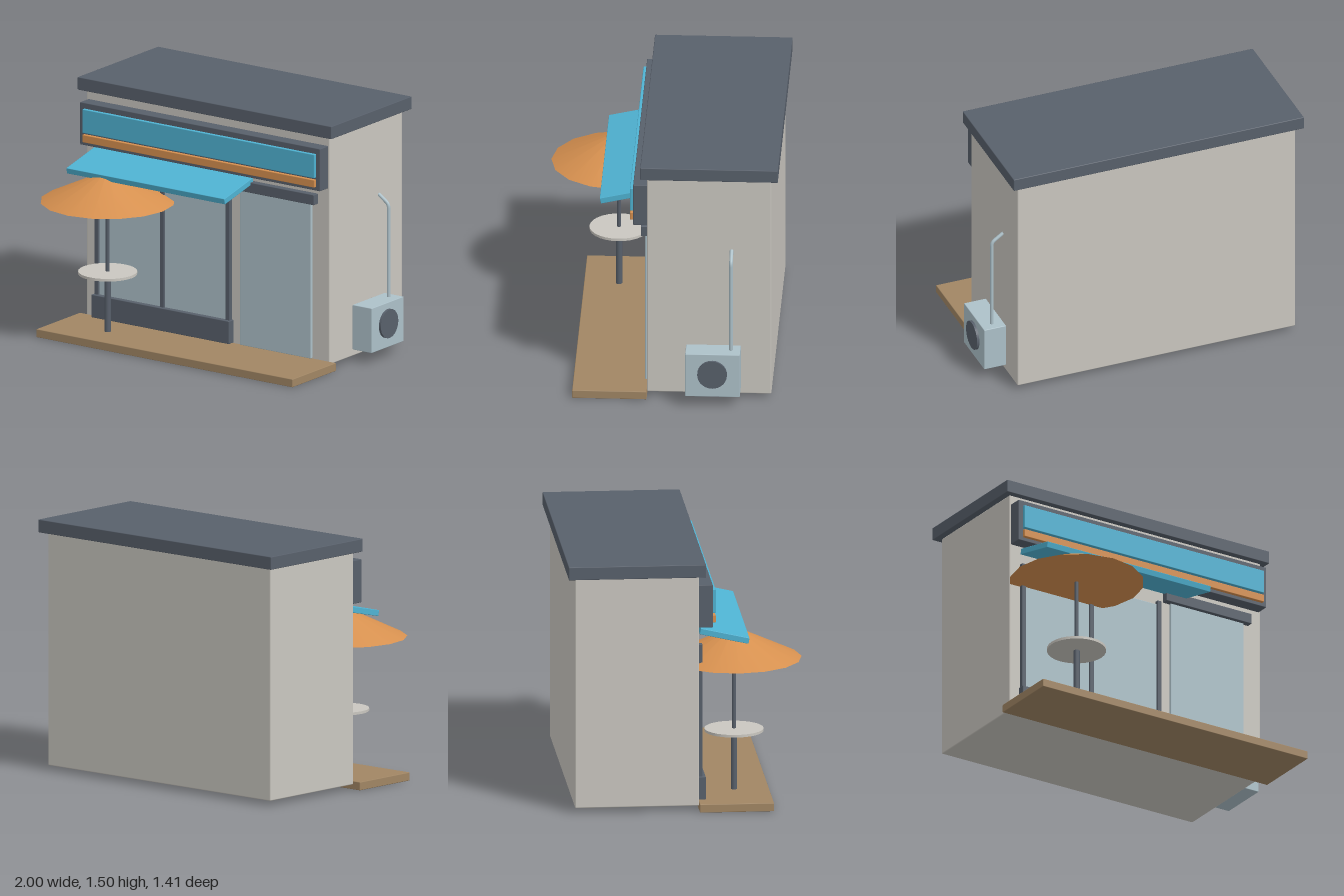
import * as THREE from 'three';
import { RoundedBoxGeometry } from 'three/addons/geometries/RoundedBoxGeometry.js';

function material(name, color) {
  const m = new THREE.MeshStandardMaterial({ color });
  m.name = name;
  return m;
}

export function createModel() {
  const group = new THREE.Group();
  const wall = material('warm grey plaster', 0xcac7c0);
  const dark = material('slate', 0x58606b);
  const blue = material('awning blue', 0x4fb3d3);
  const orange = material('orange', 0xd6904f);
  const wood = material('deck wood', 0xa18664);
  const glass = material('pale blue grey', 0xadc1c9);

  const add = (name, geometry, mat, x = 0, y = 0, z = 0, parent = group) => {
    const mesh = new THREE.Mesh(geometry, mat);
    mesh.name = name;
    mesh.position.set(x, y, z);
    parent.add(mesh);
    return mesh;
  };
  // Softly bevelled box given by its extents
  const box = (name, mat, [x0, x1], [y0, y1], [z0, z1], bevel = 0.004) =>
    add(name, new RoundedBoxGeometry(x1 - x0, y1 - y0, z1 - z0, 1, bevel), mat,
      (x0 + x1) / 2, (y0 + y1) / 2, (z0 + z1) / 2);

  // Building shell, roof and deck
  box('building', wall, [-0.92, 0.845], [0.03, 1.43], [-0.665, 0.07], 0.007);
  box('roof', dark, [-0.96, 0.885], [1.427, 1.505], [-0.705, 0.108]);
  box('deck', wood, [-0.97, 0.893], [0, 0.05], [0.07, 0.51]);

  // Fascia sign with two coloured bands
  box('signBoard', dark, [-0.91, 0.835], [1.11, 1.37], [0.06, 0.152]);
  box('signPanel', blue, [-0.88, 0.807], [1.19, 1.335], [0.145, 0.172]);
  box('signStripe', orange, [-0.88, 0.807], [1.132, 1.179], [0.145, 0.172]);

  // Shop window
  box('windowGlass', glass, [-0.84, 0.125], [0.18, 0.974], [0.06, 0.084]);
  box('windowSill', dark, [-0.855, 0.146], [0.05, 0.19], [0.06, 0.115]);
  for (const x of [-0.833, -0.356, 0.121])
    box('windowPost', dark, [x - 0.015, x + 0.015], [0.185, 0.995], [0.06, 0.096]);

  // Door and its lintel
  box('door', glass, [0.205, 0.72], [0.05, 1.005], [0.06, 0.086]);
  box('doorLintel', dark, [0.16, 0.76], [1.002, 1.066], [0.06, 0.11]);

  // Sloping awning
  const awning = add('awning', new RoundedBoxGeometry(1.15, 0.036, 0.296, 1, 0.003), blue, -0.275, 1.041, 0.227);
  awning.rotation.x = 0.222;

  // Parasol table
  const parasol = new THREE.Group();
  parasol.name = 'parasolTable';
  parasol.position.set(-0.6, 0, 0.303);
  group.add(parasol);
  add('parasolCanopy', new THREE.ConeGeometry(0.4, 0.19, 16), orange, 0, 0.945, 0, parasol);
  add('parasolPole', new THREE.CylinderGeometry(0.012, 0.012, 0.48, 12), dark, 0, 0.65, 0, parasol);
  add('tableLeg', new THREE.CylinderGeometry(0.019, 0.019, 0.36, 12), dark, 0, 0.228, 0, parasol);
  add('tableTop', new THREE.CylinderGeometry(0.175, 0.175, 0.016, 28), wall, 0, 0.412, 0, parasol);

  // Air conditioner with fan and pipe
  box('airConditioner', glass, [0.845, 0.985], [0.07, 0.345], [-0.485, -0.162]);
  const fan = add('fan', new THREE.CylinderGeometry(0.088, 0.088, 0.025, 28), dark, 0.9875, 0.218, -0.322);
  fan.rotation.z = Math.PI / 2;
  const path = new THREE.CurvePath();
  const p = [[0.915, 0.335], [0.915, 0.89], [0.915, 0.912], [0.899, 0.923], [0.842, 0.962]]
    .map(([x, y]) => new THREE.Vector3(x, y, -0.43));
  path.add(new THREE.LineCurve3(p[0], p[1]));
  path.add(new THREE.QuadraticBezierCurve3(p[1], p[2], p[3]));
  path.add(new THREE.LineCurve3(p[3], p[4]));
  add('pipe', new THREE.TubeGeometry(path, 60, 0.011, 10), glass);

  return group;
}
